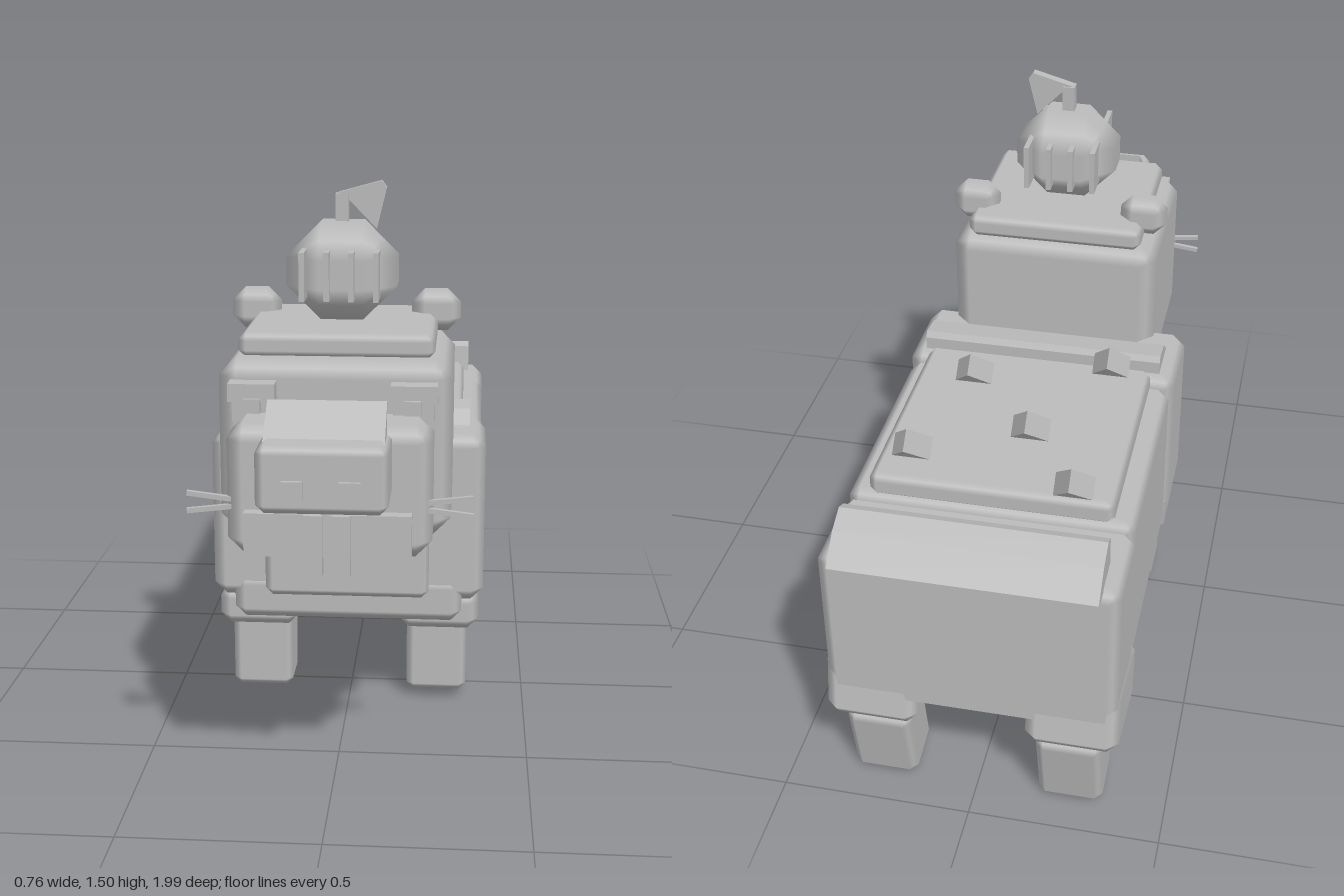
import * as THREE from 'three';

const grey = new THREE.MeshStandardMaterial({ color: 0xbbbbbb });
grey.name = 'plain grey';

// Box with chamfered edges: flat faces, softly shaded bevels
function bevelBox(w, h, d, b) {
  const g = new THREE.BoxGeometry(1, 1, 1, 3, 3, 3);
  const p = g.attributes.position, n = g.attributes.normal, half = [w / 2, h / 2, d / 2];
  for (let i = 0; i < p.count; i++) {
    const c = [p.getX(i), p.getY(i), p.getZ(i)];
    const outer = c.map(v => Math.abs(v) > 0.4);
    const count = outer.filter(Boolean).length;
    const q = c.map((v, k) => Math.sign(v) * (half[k] - (outer[k] ? b * (count - 1) / count : b)));
    p.setXYZ(i, ...q);
    const m = new THREE.Vector3(...c.map((v, k) => (outer[k] ? Math.sign(v) : 0))).normalize();
    n.setXYZ(i, m.x, m.y, m.z);
  }
  return g;
}

export function createModel() {
  const root = new THREE.Group();
  root.name = 'blockyAnimal';

  function add(name, geometry, x = 0, y = 0, z = 0, rx = 0, rz = 0) {
    const m = new THREE.Mesh(geometry, grey);
    m.name = name;
    m.position.set(x, y, z);
    m.rotation.set(rx, 0, rz);
    root.add(m);
    return m;
  }
  // Box given by its min and max on each axis
  function block(name, x0, x1, y0, y1, z0, z1, b = 0) {
    const s = [x1 - x0, y1 - y0, z1 - z0];
    const g = b ? bevelBox(...s, b) : new THREE.BoxGeometry(...s);
    return add(name, g, (x0 + x1) / 2, (y0 + y1) / 2, (z0 + z1) / 2);
  }
  // Extruded outline, centred on its depth
  function slab(points, depth) {
    const shape = new THREE.Shape(points.map(q => new THREE.Vector2(...q)));
    return new THREE.ExtrudeGeometry(shape, { depth, bevelEnabled: false }).translate(0, 0, -depth / 2);
  }
  // Side profile of [z, y] points extruded across x
  function sideProfile(name, points, width) {
    return add(name, slab(points.map(([z, y]) => [-z, y]), width).rotateY(Math.PI / 2));
  }

  // Body
  block('middleBody', -0.37, 0.37, 0.31, 0.78, -0.71, -0.07, 0.03);
  block('backPlate', -0.315, 0.315, 0.76, 0.83, -0.695, -0.07, 0.02);
  block('bellyPlate', -0.32, 0.32, 0.26, 0.39, -0.66, 0.205, 0.03);
  block('shoulders', -0.38, 0.38, 0.32, 0.80, -0.085, 0.195, 0.035);
  block('hindquarters', -0.375, 0.375, 0.30, 0.77, -0.955, -0.695, 0.03);
  block('chestPlate', -0.228, 0.228, 0.34, 0.69, 0.18, 0.235, 0.02);
  sideProfile('neckFlap', [[0.09, 0.78], [0.08, 0.805], [0.035, 0.842], [-0.04, 0.852], [-0.05, 0.835], [-0.05, 0.78]], 0.67);
  sideProfile('tailFlap', [[-0.965, 0.76], [-0.995, 0.772], [-0.93, 0.835], [-0.87, 0.862], [-0.84, 0.85], [-0.83, 0.765]], 0.66);

  // Legs
  for (const s of [-1, 1]) {
    add('frontLegCuff', bevelBox(0.225, 0.11, 0.23, 0.03), s * 0.255, 0.28, 0.055);
    add('frontLeg', bevelBox(0.17, 0.24, 0.16, 0.02), s * 0.25, 0.145, 0.05);
    add('hindThigh', bevelBox(0.24, 0.19, 0.29, 0.03), s * 0.26, 0.316, -0.814, 0.18);
    add('hindLeg', bevelBox(0.17, 0.24, 0.15, 0.02), s * 0.25, 0.13, -0.85, -0.2);
  }

  // Triangular spikes leaning backwards
  const spike = slab([[-0.05, -0.045], [0.05, -0.045], [0, 0.045]], 0.058);
  for (const [x, z] of [[-0.21, -0.70], [0.225, -0.62], [-0.055, -0.483], [0.15, -0.255], [-0.21, -0.15]])
    add('spike', spike, x, 0.888, z, -Math.PI / 4);

  // Head and snout
  block('head', -0.29, 0.29, 0.645, 1.092, 0.097, 0.627, 0.045);
  block('headPlate', -0.245, 0.245, 1.085, 1.15, 0.11, 0.57, 0.02);
  block('muzzle', -0.247, 0.247, 0.645, 0.97, 0.61, 0.80, 0.04);
  block('nose', -0.152, 0.152, 0.81, 0.97, 0.80, 0.987, 0.02);
  sideProfile('noseWedge', [[0.92, 0.962], [0.815, 1.04], [0.815, 0.962]], 0.28);
  block('lip', -0.2, 0.2, 0.66, 0.766, 0.79, 0.832);

  for (const s of [-1, 1]) {
    const at = (name, w, h, d, x, y, z, b = 0, rz = 0) =>
      add(name, b ? bevelBox(w, h, d, b) : new THREE.BoxGeometry(w, h, d), s * x, y, z, 0, s * rz);
    at('nostril', 0.05, 0.045, 0.02, 0.065, 0.87, 0.988);
    at('tooth', 0.045, 0.15, 0.03, 0.033, 0.692, 0.831);
    at('ear', 0.13, 0.11, 0.09, 0.24, 1.155, 0.215, 0.035);
    // Eye with brow and pupil
    at('eye', 0.1, 0.075, 0.045, 0.197, 0.985, 0.64);
    at('brow', 0.115, 0.045, 0.055, 0.198, 1.022, 0.65);
    at('pupil', 0.04, 0.035, 0.03, 0.195, 0.992, 0.675);
    // Whiskers
    at('upperWhisker', 0.13, 0.012, 0.012, 0.28, 0.787, 0.765, 0, 0.12);
    at('lowerWhisker', 0.13, 0.012, 0.012, 0.28, 0.758, 0.765, 0, -0.12);
  }

  // Round fruit on the head, with ribs, stem and leaf
  add('fruit', bevelBox(0.285, 0.25, 0.25, 0.088), 0, 1.277, 0.335);
  for (const x of [-0.093, -0.031, 0.031, 0.093])
    block('fruitRib', x - 0.007, x + 0.007, 1.215, 1.338, 0.19, 0.485);
  block('stem', -0.018, 0.016, 1.38, 1.472, 0.318, 0.352);
  add('leaf', slab([[-0.01, 1.475], [0.015, 1.458], [0.088, 1.383], [0.113, 1.487], [0.1, 1.505]], 0.026), 0, 0, 0.335);

  return root;
}
